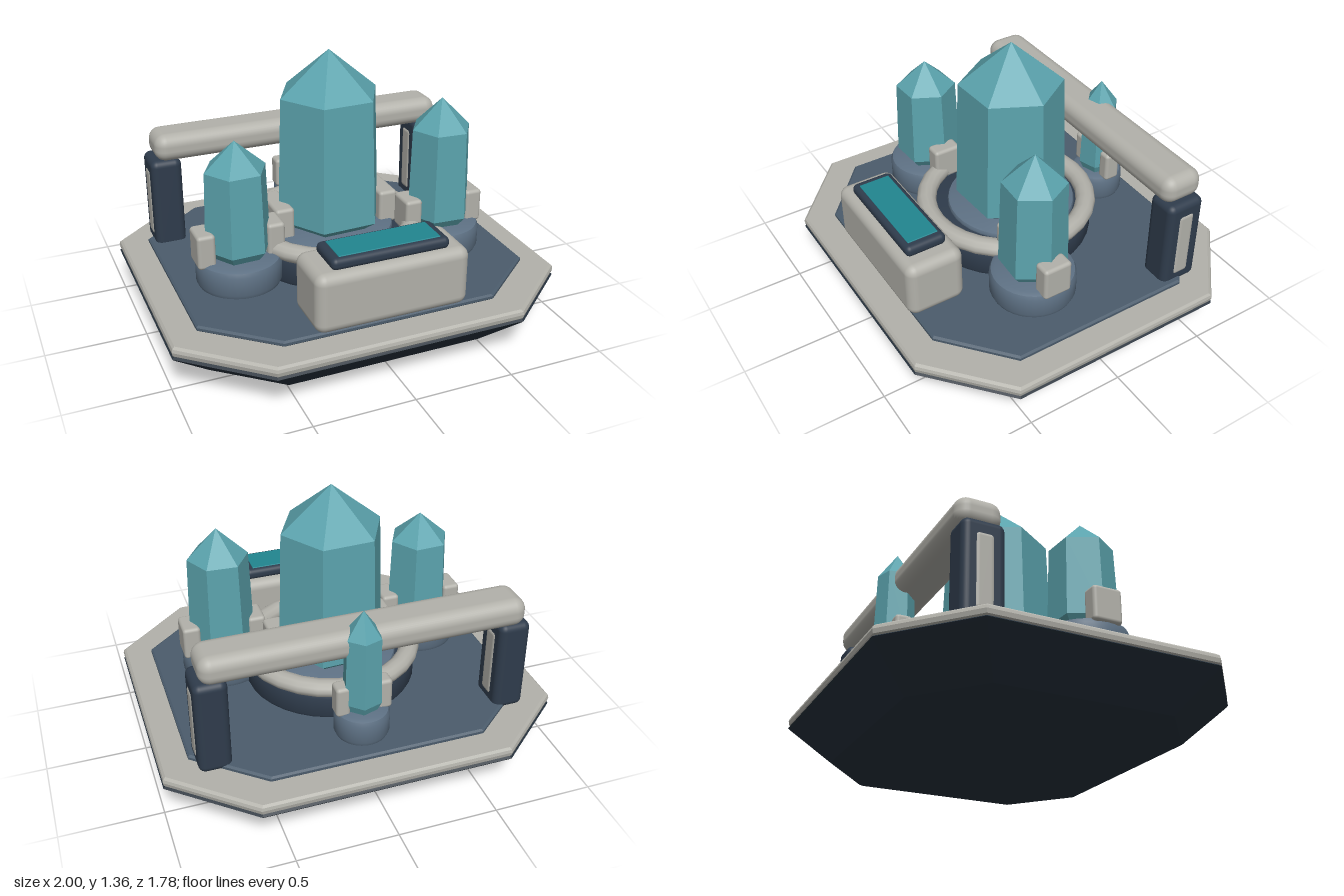
import * as THREE from 'three';
import { RoundedBoxGeometry } from 'three/addons/geometries/RoundedBoxGeometry.js';
import { toCreasedNormals } from 'three/addons/utils/BufferGeometryUtils.js';

const paint = (color, flatShading = false) => new THREE.MeshStandardMaterial({ color, flatShading });

export function createModel() {
  const model = new THREE.Group();
  const hullMat = paint(0x25303b, true), darkMat = paint(0x2f3c4c), plateMat = paint(0x4b5c6c, true);
  const potMat = paint(0x5d7083), paleMat = paint(0xb2b1aa), paleFlat = paint(0xb2b1aa, true);
  const crystalMat = paint(0x5ba3ad, true), screenMat = paint(0x218690);

  function add(name, geometry, material, x = 0, y = 0, z = 0, parent = model) {
    const mesh = new THREE.Mesh(geometry, material);
    mesh.name = name;
    mesh.position.set(x, y, z);
    parent.add(mesh);
    return mesh;
  }

  // rounded box given by its centre and size
  function box(name, material, [x, y, z], [w, h, d], r, parent = model) {
    return add(name, new RoundedBoxGeometry(w, h, d, 4, r), material, x, y, z, parent);
  }

  // Long octagon lofted through levels of [y, inset]; cut corners run from cx on the z sides to cz on the x sides
  function octagonLoft(hx, hz, cx, cz, levels) {
    const pos = [], index = [];
    const corners = [[hx, cz], [cx, hz], [-cx, hz], [-hx, cz], [-hx, -cz], [-cx, -hz], [cx, -hz], [hx, -cz]];
    for (const [y, inset] of levels) {
      const kx = 1 - inset / hx, kz = 1 - inset / hz;
      for (const [x, z] of corners) pos.push(x * kx, y, z * kz);
    }
    const last = (levels.length - 1) * 8;
    for (let l = 0; l < last; l += 8) {
      for (let i = 0; i < 8; i++) {
        const a = l + i, b = l + (i + 1) % 8;
        index.push(a, a + 8, b, b, a + 8, b + 8);
      }
    }
    for (let i = 1; i < 7; i++) {
      index.push(0, i, i + 1);
      index.push(last, last + i + 1, last + i);
    }
    const geometry = new THREE.BufferGeometry();
    geometry.setAttribute('position', new THREE.Float32BufferAttribute(pos, 3));
    geometry.setIndex(index);
    return toCreasedNormals(geometry, 0.1);
  }

  // Bevelled drum standing from y0 to y1
  function drum(name, material, x, z, r, y0, y1, bevel, parent = model) {
    const b = bevel, k = bevel * 0.3;
    const profile = [[0, y0], [r - b, y0], [r - k, y0 + k], [r, y0 + b], [r, y1 - b], [r - k, y1 - k], [r - b, y1], [0, y1]];
    const geometry = new THREE.LatheGeometry(profile.map(p => new THREE.Vector2(...p)), 36);
    return add(name, toCreasedNormals(geometry, 0.7), material, x, 0, z, parent);
  }

  // Six-sided pointed crystal, slightly tapered, with a cut foot
  function crystal(x, z, r, foot, shoulder, tip, turn, parent) {
    const profile = [[0, foot], [r * 0.72, foot], [r, foot + 0.06], [r * 0.92, shoulder], [0, tip]];
    const geometry = new THREE.LatheGeometry(profile.map(p => new THREE.Vector2(...p)), 6);
    add('crystal', geometry, crystalMat, x, 0, z, parent).rotation.y = Math.PI / 6 + turn;
  }

  // Sloping base, pale rim and deck plate
  add('baseHull', octagonLoft(1, 0.89, 0.62, 0.56,
    [[0, 0.235], [0.004, 0.215], [0.014, 0.195], [0.19, 0.008], [0.2, 0], [0.21, 0.012]]), hullMat);
  add('baseRim', octagonLoft(1, 0.89, 0.62, 0.56,
    [[0.205, 0.015], [0.215, 0.004], [0.235, 0], [0.25, 0.004], [0.26, 0.015]]), paleFlat);
  add('deckPlate', octagonLoft(0.86, 0.745, 0.535, 0.47,
    [[0.255, 0.01], [0.265, 0], [0.278, 0], [0.286, 0.01]]), plateMat);

  // Central plinth with collar ring and inner seat
  drum('plinth', darkMat, 0, 0, 0.44, 0.28, 0.42, 0.02);
  const ring = add('collarRing', new THREE.TorusGeometry(0.414, 0.051, 12, 28), paleMat, 0, 0.45, 0);
  ring.rotation.x = Math.PI / 2;
  ring.scale.z = 0.88;
  drum('plinthSeat', potMat, 0, -0.03, 0.33, 0.4, 0.445, 0.015);

  // Crystals with pots and a clamp on each side
  const stands = [
    { name: 'mainCrystal', x: 0, z: -0.03, r: 0.282, shoulder: 1.135, tip: 1.355, turn: 0.05, reach: 0.282, clamp: [0.098, 0.175, 0.25] },
    { name: 'leftCrystal', x: 0.522, z: 0.18, r: 0.167, shoulder: 0.95, tip: 1.105, turn: -0.06, pot: 0.212, reach: 0.17, clamp: [0.09, 0.175, 0.15] },
    { name: 'rightCrystal', x: -0.55, z: 0.15, r: 0.167, shoulder: 0.89, tip: 1.03, turn: 0.05, pot: 0.212, reach: 0.175, clamp: [0.09, 0.175, 0.15] },
    { name: 'backCrystal', x: 0.03, z: -0.565, r: 0.1, shoulder: 0.845, tip: 0.975, turn: 0.3, pot: 0.135, reach: 0.105, clamp: [0.07, 0.16, 0.085] },
  ];
  for (const s of stands) {
    const group = new THREE.Group();
    group.name = s.name;
    model.add(group);
    crystal(s.x, s.z, s.r, 0.43, s.shoulder, s.tip, s.turn, group);
    if (s.pot) drum('pot', potMat, s.x, s.z, s.pot, 0.293, 0.445, 0.03, group);
    for (const side of [-1, 1]) {
      box('clamp', paleMat, [s.x + side * s.reach, 0.51, s.z], s.clamp, 0.018, group);
    }
  }

  // Rear gantry: two posts with inlaid panels and a crossbar
  for (const side of [-1, 1]) {
    box('post', darkMat, [side * 0.75, 0.5, -0.488], [0.16, 0.49, 0.205], 0.035);
    box('postPanel', paleMat, [side * 0.75, 0.495, -0.488], [0.17, 0.375, 0.1], 0.025);
  }
  box('crossbar', paleMat, [0, 0.805, -0.49], [1.6, 0.145, 0.22], 0.06);

  // Front console with framed screen
  box('console', paleMat, [0, 0.433, 0.622], [0.77, 0.3, 0.3], 0.05);
  box('screenFrame', darkMat, [0, 0.605, 0.622], [0.59, 0.06, 0.212], 0.026);
  box('screen', screenMat, [0, 0.629, 0.622], [0.51, 0.02, 0.16], 0.004);

  return model;
}
